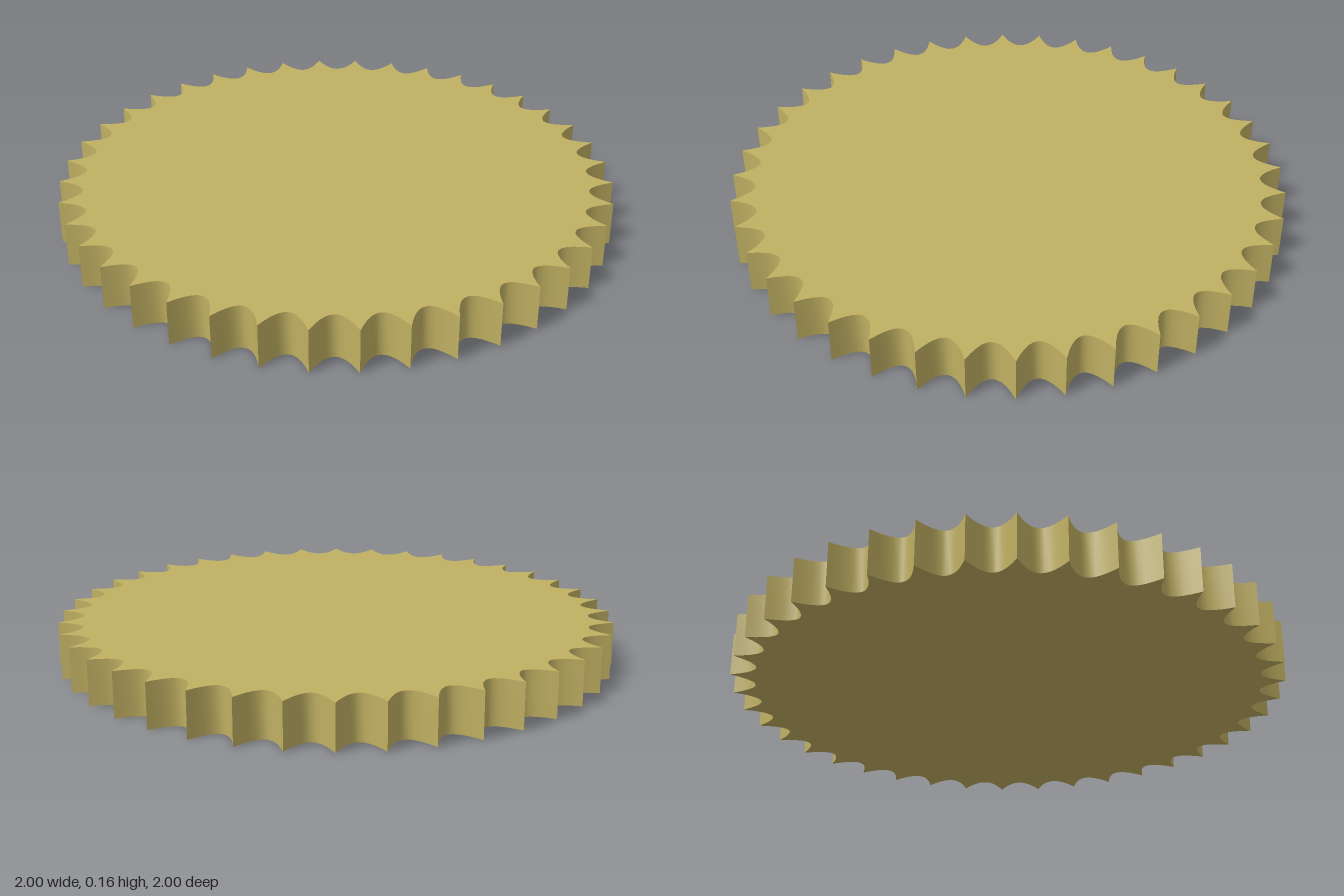
import * as THREE from 'three';
import { toCreasedNormals } from 'three/addons/utils/BufferGeometryUtils.js';

const TEETH = 40;
const TIP_RADIUS = 1;
const VALLEY_CONTROL = 0.885; // control radius: valley floors end up at about 0.914
const HEIGHT = 0.16;

const polar = (radius, angle) => [radius * Math.cos(angle), radius * Math.sin(angle)];

// Sharp tips joined by rounded valleys
function toothedOutline() {
  const shape = new THREE.Shape();
  const step = (Math.PI * 2) / TEETH;
  shape.moveTo(TIP_RADIUS, 0);
  for (let i = 0; i < TEETH; i++) {
    const a = i * step;
    shape.bezierCurveTo(
      ...polar(VALLEY_CONTROL, a + step * 0.34),
      ...polar(VALLEY_CONTROL, a + step * 0.66),
      ...polar(TIP_RADIUS, a + step)
    );
  }
  return shape;
}

export function createModel() {
  const group = new THREE.Group();
  group.name = 'toothedDisc';

  const brass = new THREE.MeshStandardMaterial({ color: 0xc0b062 });
  brass.name = 'brass';

  // Flat disc, smooth in the valleys and creased at the tips and rims
  const extruded = new THREE.ExtrudeGeometry(toothedOutline(), {
    depth: HEIGHT, bevelEnabled: false, curveSegments: 10,
  });
  extruded.rotateX(-Math.PI / 2);
  const disc = new THREE.Mesh(toCreasedNormals(extruded, Math.PI / 5), brass);
  disc.name = 'disc';
  group.add(disc);

  return group;
}
